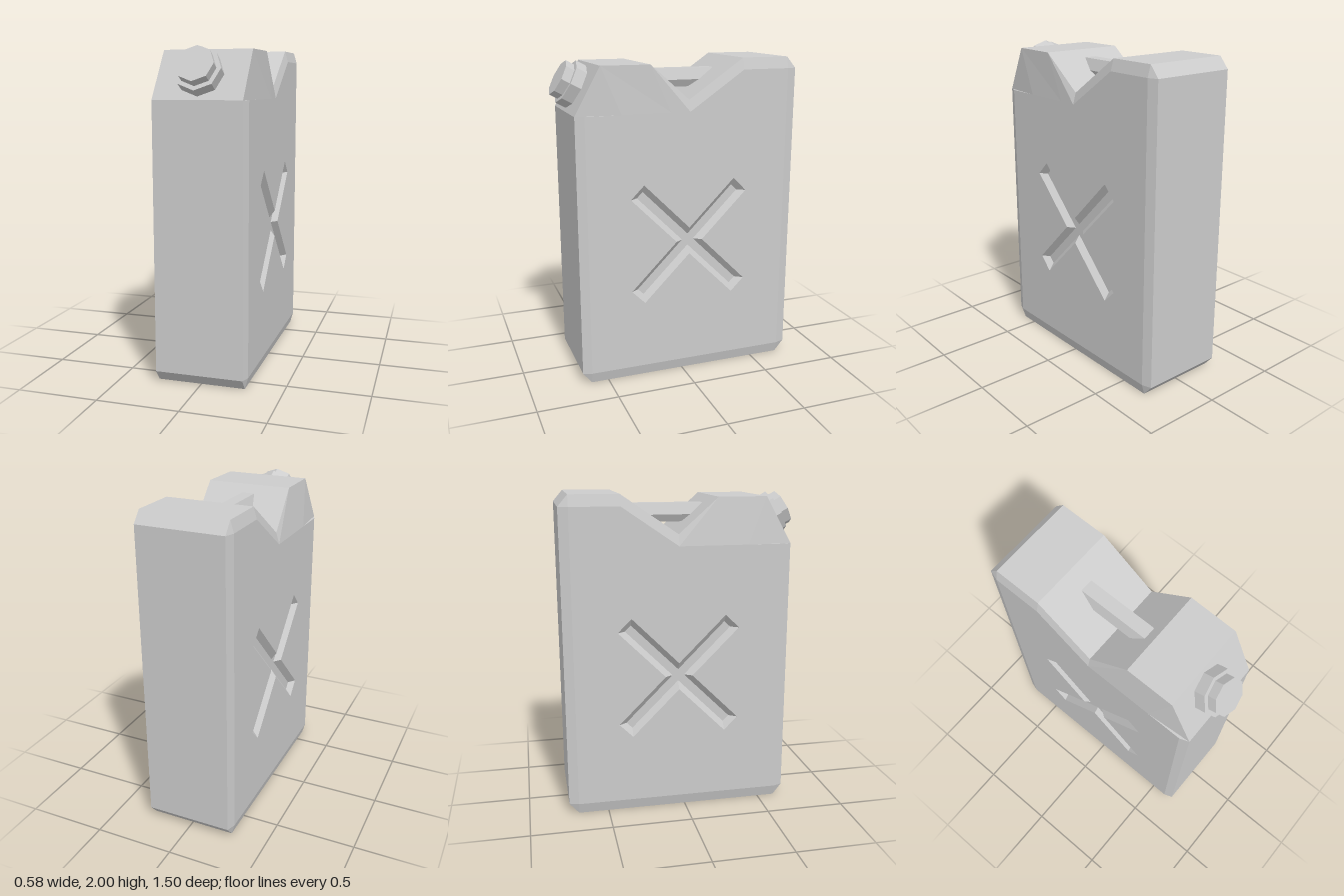
import * as THREE from 'three';

const material = new THREE.MeshStandardMaterial({ color: 0xcccccc, flatShading: true });
const HALF = 0.29; // half width at the flat sides

// Collects triangles into a flat shaded geometry
function makeSurface() {
  const pos = [];
  const tri = (a, b, c, flip) => pos.push(...a, ...(flip ? c : b), ...(flip ? b : c));
  const quad = (a, b, c, d, flip) => { tri(a, b, c, flip); tri(a, c, d, flip); };
  const build = () => {
    const g = new THREE.BufferGeometry();
    g.setAttribute('position', new THREE.Float32BufferAttribute(pos, 3));
    g.computeVertexNormals();
    return g;
  };
  return { tri, quad, build };
}

// Diagonal cross outline as [z, y] points, counter-clockwise
function crossOutline(halfWidth, length) {
  const pts = [];
  for (let k = 0; k < 4; k++) {
    const corner = k * Math.PI / 2, arm = corner + Math.PI / 4;
    const dz = Math.cos(arm), dy = Math.sin(arm);
    const r = halfWidth * Math.SQRT2;
    pts.push([r * Math.cos(corner), r * Math.sin(corner)]);
    for (const e of [-1, 1])
      pts.push([dz * length - e * dy * halfWidth, dy * length + e * dz * halfWidth]);
  }
  return pts.map(([z, y]) => [z - 0.04, y + 0.88]);
}

function bodyGeometry() {
  // Outer rim: z, y, half width towards -x, half width towards +x
  const rim = [
    [0.665, 0.07], [0.665, 1.69], [0.51, 1.975, 0.25, 0.285], [0.21, 1.975, 0.25, 0.29],
    [-0.04, 1.76], [-0.39, 2], [-0.69, 2], [-0.75, 1.93], [-0.75, 0.07], [-0.69, 0], [0.61, 0],
  ].map(([z, y, n = 0.27, p = 0.27]) => ({ z, y, n, p }));
  // Matching outline of the flat side, inside the bevel
  const side = [
    [0.61, 0.07], [0.61, 1.69], [0.39, 1.69], [0.08, 1.69], [-0.04, 1.69], [-0.39, 1.93],
    [-0.69, 1.93], [-0.69, 1.93], [-0.69, 0.07], [-0.69, 0.07], [0.61, 0.07],
  ];
  const groove = crossOutline(0.06, 0.478);
  const floor = crossOutline(0.026, 0.444);
  const { tri, quad, build } = makeSurface();
  const rimPoint = (r, s) => [s < 0 ? -r.n : r.p, r.y, r.z];
  const n = rim.length;

  // Narrow band all the way round
  for (let i = 0; i < n; i++) {
    const a = rim[i], b = rim[(i + 1) % n];
    quad(rimPoint(a, -1), rimPoint(a, 1), rimPoint(b, 1), rimPoint(b, -1));
  }

  for (const s of [-1, 1]) {
    const flip = s > 0;
    const at = ([z, y], x = HALF) => [s * x, y, z];

    // Bevel between band and side
    for (let i = 0; i < n; i++) {
      const j = (i + 1) % n;
      const a = rimPoint(rim[i], s), b = rimPoint(rim[j], s);
      tri(a, b, at(side[j]), flip);
      if (String(side[i]) !== String(side[j])) tri(a, at(side[j]), at(side[i]), flip);
    }

    // Flat side with the cross cut out, and the floor of the cross
    const fill = (contour, hole, x) => {
      const vec = (list) => list.map(([z, y]) => new THREE.Vector2(z, y));
      const all = [...contour, ...hole];
      const faces = THREE.ShapeUtils.triangulateShape(vec(contour), hole.length ? [vec(hole)] : []);
      for (const [i, j, k] of faces) {
        const [a, b, c] = [all[i], all[j], all[k]];
        const area = (b[0] - a[0]) * (c[1] - a[1]) - (b[1] - a[1]) * (c[0] - a[0]);
        tri(at(a, x), at(b, x), at(c, x), flip !== (area < 0));
      }
    };
    const outline = side.filter((p, i) => String(p) !== String(side[(i + 1) % n]));
    fill(outline, groove, HALF);
    fill(floor, [], HALF - 0.035);

    // Sloping walls of the cross
    groove.forEach((g, i) => {
      const j = (i + 1) % groove.length;
      quad(at(g), at(groove[j]), at(floor[j], HALF - 0.035), at(floor[i], HALF - 0.035), flip);
    });
  }
  return build();
}

function addMesh(parent, name, geometry) {
  const mesh = new THREE.Mesh(geometry, material);
  mesh.name = name;
  parent.add(mesh);
  return mesh;
}

export function createModel() {
  const model = new THREE.Group();
  model.name = 'fuelCan';
  addMesh(model, 'body', bodyGeometry());

  // Six-sided grip bridging the notch
  const section = new THREE.Shape([
    [-0.04, 1.815], [0.04, 1.815], [0.065, 1.86], [0.04, 1.93], [-0.04, 1.93], [-0.065, 1.86],
  ].map(([x, y]) => new THREE.Vector2(x, y)));
  const grip = new THREE.ExtrudeGeometry(section, { depth: 0.47, bevelEnabled: false });
  addMesh(model, 'handle', grip.translate(0, 0, -0.305));

  // Stepped octagonal cap standing on the front slope
  const cap = new THREE.Group();
  cap.name = 'cap';
  cap.position.set(0, 1.8325, 0.5875);
  cap.rotation.x = Math.atan2(0.285, 0.155);
  addMesh(cap, 'capBase', new THREE.CylinderGeometry(0.14, 0.14, 0.09, 8)).position.y = 0.025;
  addMesh(cap, 'capTop', new THREE.CylinderGeometry(0.113, 0.113, 0.06, 8)).position.y = 0.095;
  model.add(cap);

  return model;
}
